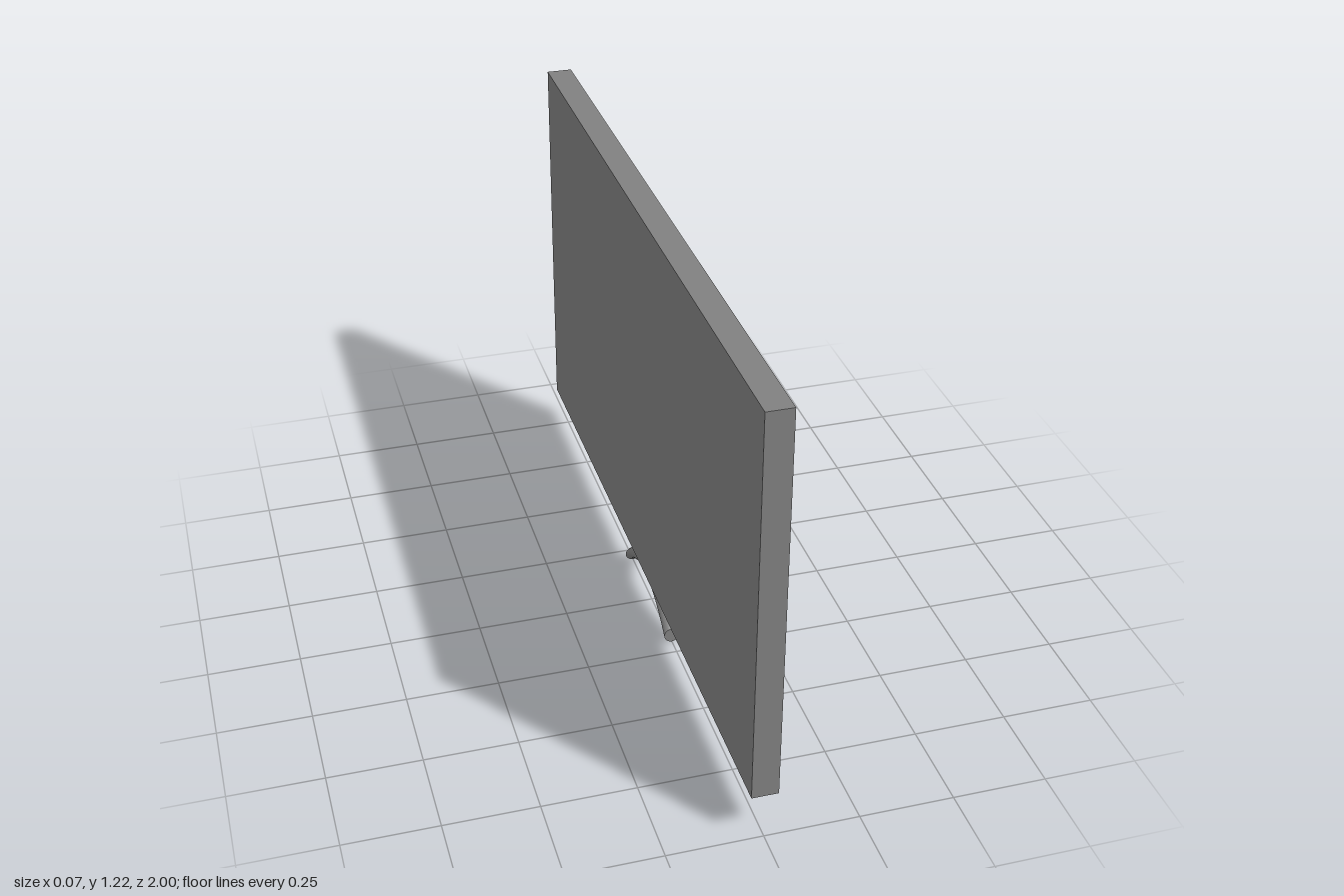
import * as THREE from 'three';

const WIDTH = 2, BOTTOM = 0.13, TOP = 1.217, DEPTH = 0.07;
const BORDER = 0.026, RECESS = 0.016;

// rectangle outline centred on the origin
function rectangle(Type, w, h) {
  return new Type([[-1, -1], [1, -1], [1, 1], [-1, 1]].map(
    ([x, y]) => new THREE.Vector2(x * w / 2, y * h / 2)));
}

export function createModel() {
  const model = new THREE.Group();
  model.name = 'television';

  const casing = new THREE.MeshStandardMaterial({ name: 'casing grey', color: 0x808080 });
  const dark = new THREE.MeshStandardMaterial({ name: 'screen dark grey', color: 0x383838 });

  const add = (name, geometry, material, x = 0, y = 0) => {
    const mesh = new THREE.Mesh(geometry, material);
    mesh.name = name;
    mesh.position.set(x, y, 0);
    model.add(mesh);
    return mesh;
  };

  const height = TOP - BOTTOM, midY = (TOP + BOTTOM) / 2;
  const innerW = WIDTH - 2 * BORDER, innerH = height - 2 * BORDER;
  const recessX = DEPTH / 2 - RECESS;

  // casing: a rim around the screen, closed by a back panel
  const rim = rectangle(THREE.Shape, WIDTH, height);
  rim.holes.push(rectangle(THREE.Path, innerW, innerH));
  const rimGeometry = new THREE.ExtrudeGeometry(rim, { depth: DEPTH, bevelEnabled: false });
  rimGeometry.rotateY(Math.PI / 2);
  add('frame', rimGeometry, casing, -DEPTH / 2, midY);

  const back = new THREE.PlaneGeometry(innerW, innerH).rotateY(-Math.PI / 2);
  add('backPanel', back, casing, -DEPTH / 2, midY);

  // screen, set back inside the rim and facing +x
  const screen = new THREE.BoxGeometry(0.008, innerH, innerW);
  add('screen', screen, dark, recessX - 0.004, midY);

  // stand: a round bar bent into a shallow arch, with upright end cuts
  const radius = 0.0215, half = 0.203, rise = 0.086;
  const bar = new THREE.CylinderGeometry(radius, radius, 2 * half, 24, 24);
  bar.rotateX(Math.PI / 2);
  const p = bar.attributes.position;
  for (let i = 0; i < p.count; i++) {
    const t = p.getZ(i) / half;
    p.setY(i, p.getY(i) + radius + rise * (1 - t * t));
  }
  bar.computeVertexNormals();
  add('stand', bar, casing);

  return model;
}
